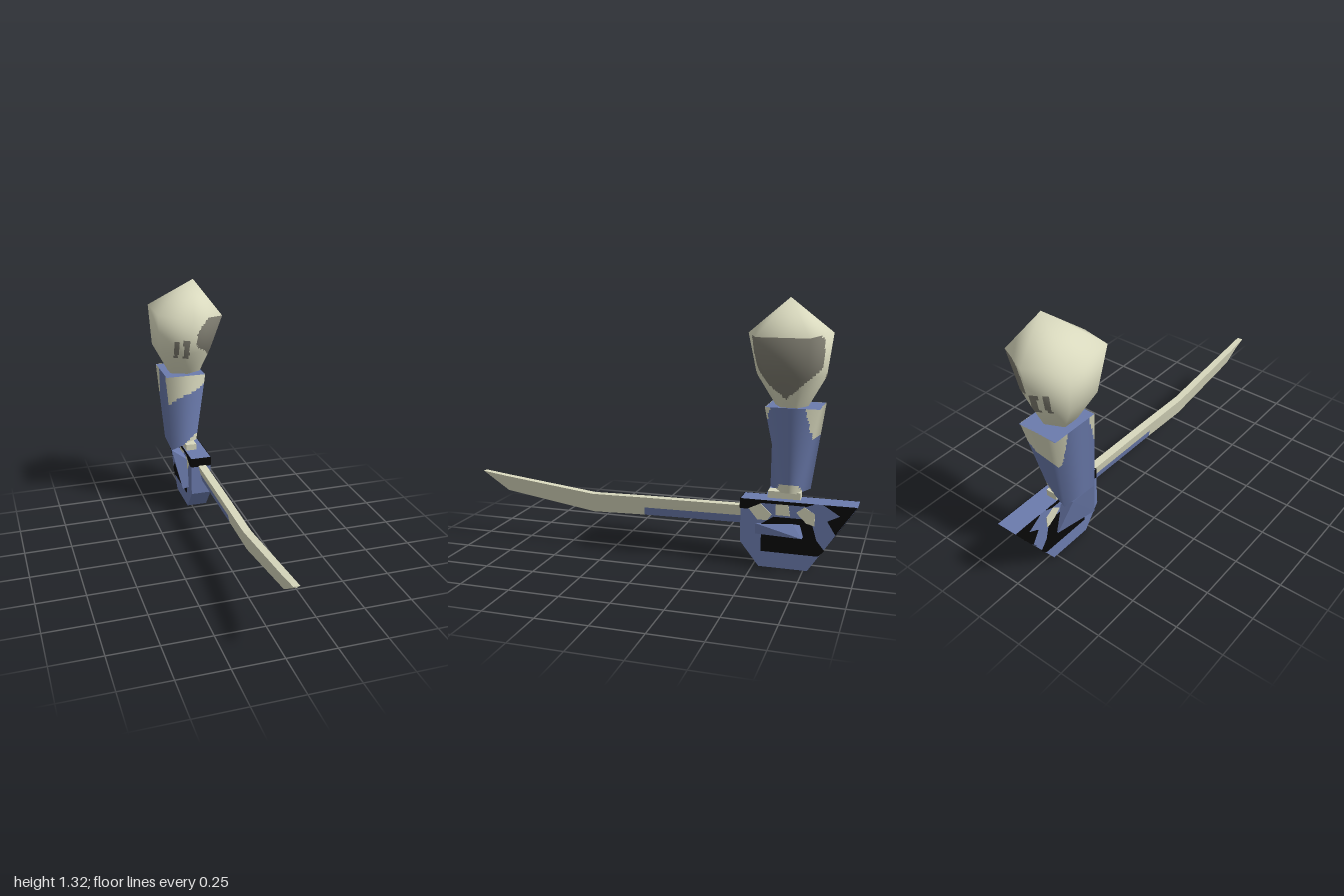
import * as THREE from 'three';
import { ConvexGeometry } from 'three/addons/geometries/ConvexGeometry.js';

const material = (name, color, side = THREE.FrontSide) => {
  const m = new THREE.MeshStandardMaterial({ color, side });
  m.name = name;
  return m;
};
const V = (x, y, z) => new THREE.Vector3(x, y, z);

// Smooth loft through rings of points; each small cell takes the material picked by rule(x, y, z)
function paintedLoft(rings, cells, rule) {
  const n = rings[0].length;
  const P = rings.map(r => r.map(p => V(...p)));
  const N = rings.map(r => r.map(() => V(0, 0, 0)));
  const same = (a, b) => a.distanceTo(b) < 1e-6;
  for (let j = 0; j < P.length - 1; j++) for (let i = 0; i < n; i++) {
    const k = (i + 1) % n;
    const normal = P[j][k].clone().sub(P[j][i])
      .cross(P[j + 1][i].clone().sub(P[j][i]));
    for (const [a, b] of [[j, i], [j, k], [j + 1, i], [j + 1, k]]) N[a][b].add(normal);
  }
  // A ring collapsed to one point shares one normal
  N.forEach((r, j) => {
    if (same(P[j][0], P[j][1])) {
      const sum = r.reduce((s, v) => s.add(v), V(0, 0, 0));
      r.forEach(v => v.copy(sum));
    }
    r.forEach(v => v.normalize());
  });
  const mix = (A, j, i, u, v) => {
    const k = (i + 1) % n;
    return A[j][i].clone().lerp(A[j][k], u).lerp(A[j + 1][i].clone().lerp(A[j + 1][k], u), v);
  };
  const buckets = {};
  for (let j = 0; j < P.length - 1; j++) for (let i = 0; i < n; i++)
    for (let a = 0; a < cells; a++) for (let b = 0; b < cells; b++) {
      const c = mix(P, j, i, (a + 0.5) / cells, (b + 0.5) / cells);
      const list = (buckets[rule(c.x, c.y, c.z)] ??= []);
      for (const [s, t] of [[0, 0], [1, 0], [1, 1], [0, 0], [1, 1], [0, 1]])
        list.push([j, i, (a + s) / cells, (b + t) / cells]);
    }
  const pos = [], nor = [], geo = new THREE.BufferGeometry();
  for (const [index, list] of Object.entries(buckets)) {
    geo.addGroup(pos.length / 3, list.length, Number(index));
    for (const q of list) {
      pos.push(...mix(P, ...q).toArray());
      nor.push(...mix(N, ...q).normalize().toArray());
    }
  }
  geo.setAttribute('position', new THREE.Float32BufferAttribute(pos, 3));
  geo.setAttribute('normal', new THREE.Float32BufferAttribute(nor, 3));
  return geo;
}

// Flat outline given as [z, y], extruded along x
function slab(points, x, depth) {
  const shape = new THREE.Shape(points.map(([z, y]) => new THREE.Vector2(-z, y)));
  return new THREE.ExtrudeGeometry(shape, { depth, bevelEnabled: false })
    .rotateY(Math.PI / 2).translate(x, 0, 0);
}

export function createModel() {
  const group = new THREE.Group();
  const cream = material('cream', 0xd8d8bd, THREE.DoubleSide);
  const blue = material('blue', 0x6b7bad, THREE.DoubleSide);
  const grey = material('grey', 0x7b796d, THREE.DoubleSide);
  const black = material('black', 0x080808);
  const add = (name, geo, mat) => {
    const mesh = new THREE.Mesh(geo, mat);
    mesh.name = name;
    group.add(mesh);
  };

  // Six-sided shoulder guard rising to an off-centre point
  const shoulder = [
    [[0, 0.8, -0.58], [0.08, 0.8, -0.62], [0.08, 0.8, -0.70],
      [0, 0.8, -0.74], [-0.09, 0.8, -0.70], [-0.09, 0.8, -0.62]],
    [[-0.02, 0.945, -0.48], [0.122, 0.945, -0.55], [0.122, 0.945, -0.75],
      [-0.02, 0.945, -0.82], [-0.165, 0.945, -0.74], [-0.165, 0.945, -0.56]],
    [[0, 1.145, -0.44], [0.18, 1.14, -0.51], [0.18, 1.14, -0.76],
      [0, 1.155, -0.85], [-0.18, 1.17, -0.75], [-0.18, 1.17, -0.5]],
    Array(6).fill([0.055, 1.32, -0.65]),
  ];
  add('shoulderGuard', paintedLoft(shoulder, 18, (x, y, z) => {
    const off = Math.abs(z + 0.645);
    if (x > 0.03 && y < 1.142 && off < Math.min(0.17, 0.01 + (y - 0.85) * 1.1)) return 1;
    const slot = (x > -0.045 && x < -0.015) || (x > -0.09 && x < -0.07);
    return slot && off > 0.1 && y > 0.91 && y < 1.02 ? 1 : 0;
  }), [cream, grey]);

  // Four-sided forearm tapering to the wrist
  const arm = [
    [[-0.11, 0.36, -0.545], [0.06, 0.375, -0.63], [0.045, 0.37, -0.70], [-0.10, 0.365, -0.75]],
    [[-0.13, 0.8, -0.545], [0.092, 0.8, -0.545], [0.09, 0.8, -0.80], [-0.13, 0.8, -0.81]],
  ];
  add('forearm', paintedLoft(arm, 30, (x, y, z) => {
    const off = Math.abs(z + 0.655);
    if (y < 0.38 + 0.7 * x) return 0;
    const frontRise = Math.max(0, x - 0.03);
    const limit = off < 0.075 ? 1 : 0.635 + frontRise + Math.max(0, 0.11 - off) * 4;
    return y < limit ? 1 : 0;
  }), [cream, blue]);
  add('forearmTop', new THREE.PlaneGeometry(0.22, 0.26).rotateX(-Math.PI / 2)
    .translate(-0.02, 0.799, -0.676), blue);
  add('wrist', new THREE.BoxGeometry(0.06, 0.06, 0.16).translate(0.01, 0.345, -0.64), cream);

  // Hand passing round the grip, with the pointed thumb on the far side
  add('hand', new ConvexGeometry([
    V(-0.11, 0.36, -0.545), V(-0.09, 0.34, -0.68), V(-0.06, 0.127, -0.5),
    V(-0.035, 0.15, -0.74), V(0.085, 0.22, -0.5), V(0.085, 0.165, -0.5),
    V(0.165, 0.185, -0.75),
  ]), blue);

  // Grip block with painted panels on both sides
  add('grip', slab([[-0.435, 0.34], [-1, 0.34], [-0.77, 0], [-0.53, 0], [-0.435, 0.12]],
    -0.025, 0.113), blue);
  const blackPanels = [
    [[-0.54, 0.08], [-0.82, 0.08], [-0.85, 0.11], [-0.81, 0.16], [-0.79, 0.23],
      [-0.74, 0.26], [-0.60, 0.26], [-0.54, 0.22]],
    [[-0.84, 0.34], [-0.998, 0.34], [-0.90, 0.195], [-0.86, 0.26], [-0.92, 0.29]],
    [[-0.436, 0.34], [-0.80, 0.34], [-0.76, 0.325], [-0.54, 0.325], [-0.47, 0.29], [-0.436, 0.29]],
  ];
  const creamPanels = [
    [[-0.47, 0.30], [-0.53, 0.325], [-0.59, 0.27], [-0.57, 0.24], [-0.52, 0.24]],
    [[-0.61, 0.335], [-0.67, 0.335], [-0.68, 0.27], [-0.61, 0.27]],
    [[-0.71, 0.29], [-0.75, 0.32], [-0.80, 0.29], [-0.80, 0.23], [-0.76, 0.24]],
  ];
  for (const x of [0.087, -0.028]) {
    blackPanels.forEach(p => add('gripDarkPanel', slab(p, x, 0.004), black));
    creamPanels.forEach(p => add('gripPalePanel', slab(p, x, 0.004), cream));
  }
  add('gripFrontBand', new THREE.BoxGeometry(0.113, 0.05, 0.006).translate(0.0315, 0.315, -0.434), black);
  add('gripBackPanel', slab([[-0.99, 0.335], [-0.998, 0.335], [-0.887, 0.17], [-0.88, 0.17]],
    -0.025, 0.113), black);

  // Blade: flat back above, cutting edge below; [z, back y, edge y, half width]
  const blade = [[-0.435, 0.295, 0.2, 0.022], [0.08, 0.29, 0.193, 0.021],
    [0.36, 0.285, 0.185, 0.02], [0.86, 0.342, 0.26, 0.018], [1, 0.36, 0.352, 0.016]];
  const section = (s, from, to) => {
    const at = t => [s[1] + (s[2] - s[1]) * t, s[3] * (1 - t * 0.95)];
    const [y0, w0] = at(from), [y1, w1] = at(to), x = 0.038;
    return [V(x - w0, y0, s[0]), V(x + w0, y0, s[0]), V(x - w1, y1, s[0]), V(x + w1, y1, s[0])];
  };
  for (let i = 0; i < blade.length - 1; i++)
    for (const [from, to, name] of [[0, 0.58, 'bladeBack'], [0.58, 1, 'bladeEdge']]) {
      const hull = [...section(blade[i], from, to), ...section(blade[i + 1], from, to)];
      add(name, new ConvexGeometry(hull), i === 0 && from > 0 ? blue : cream);
    }
  return group;
}
